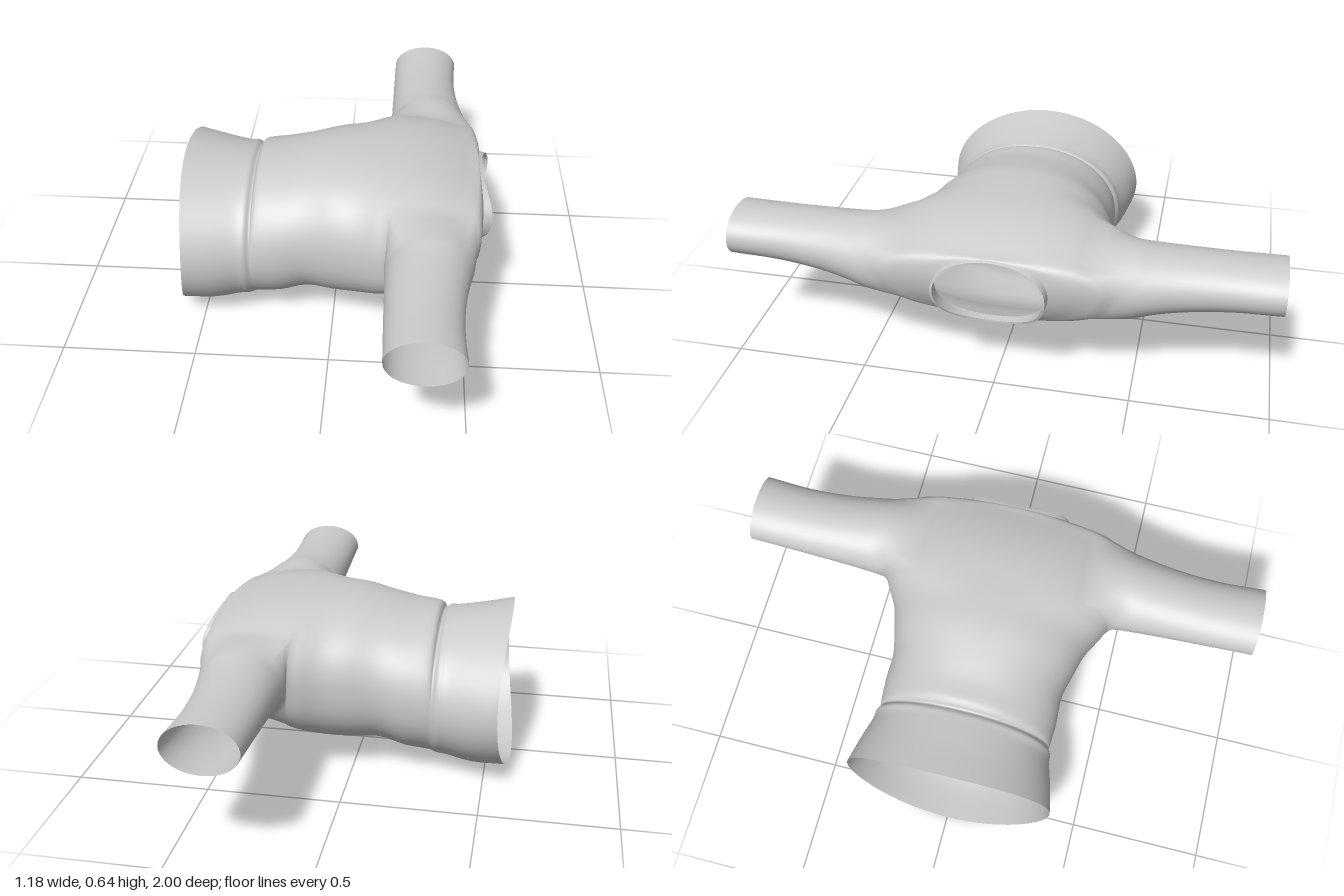
import * as THREE from 'three';
import { toCreasedNormals } from 'three/addons/utils/BufferGeometryUtils.js';

const N = 64;    // points around the torso
const SUB = 4;   // rings per torso section

// Torso sections, hem to neck: x, bottom y, top y, half width, lean, side bulge, squareness
const SECTIONS = [
  [-0.583, 0.005, 0.61, 0.395, 0.0125, 0.035, 2],
  [-0.46, 0.0, 0.588, 0.375, 0, 0.01, 2],
  [-0.36, 0.015, 0.572, 0.35, 0, 0, 2],
  [-0.325, 0.025, 0.566, 0.345, 0, 0, 2.1],
  [-0.305, 0.029, 0.555, 0.334, 0, 0, 2.1],
  [-0.285, 0.034, 0.582, 0.336, 0, 0, 2.1],
  [-0.2, 0.05, 0.59, 0.34, 0, 0, 2.2],
  [-0.1, 0.077, 0.612, 0.337, 0, 0, 2.2],
  [0, 0.08, 0.63, 0.36, 0, 0, 2.3],
  [0.1, 0.09, 0.635, 0.39, 0, 0, 2.3],
  [0.2, 0.135, 0.635, 0.445, 0, 0, 2.4],
  [0.28, 0.185, 0.632, 0.45, 0, 0, 2.4],
  [0.36, 0.23, 0.62, 0.445, 0, 0.01, 2.4],
  [0.43, 0.26, 0.6, 0.435, 0.005, 0.02, 2.4],
  [0.485, 0.28, 0.575, 0.41, 0.02, 0.035, 2.4],
  [0.503, 0.285, 0.567, 0.31, 0.03, 0.032, 2.3],
  [0.51, 0.288, 0.562, 0.2, 0.03, 0.033, 2.2],
];
const HOLE_START = 10, HOLE_END = 14;   // sections bounding the armholes
const HOLE_LOW = -6, HOLE_HIGH = 8;     // armhole span around the ring

// Sleeve sections, shoulder to cuff: z, x min, x max, y min, y max
const SLEEVE = [
  [0.48, 0.196, 0.512, 0.3, 0.572],
  [0.55, 0.198, 0.497, 0.32, 0.563],
  [0.66, 0.2, 0.478, 0.342, 0.556],
  [0.82, 0.202, 0.466, 0.362, 0.552],
  [1.0, 0.205, 0.472, 0.375, 0.556],
];

const power = (v, p) => Math.sign(v) * Math.abs(v) ** p;

// One point on a torso ring; angle 0 is +z, a quarter turn is up
function ringPoint([x, y0, y1, w, lean, bulge, square], angle, egg = 0) {
  const s = power(Math.sin(angle), 2 / square);
  const c = power(Math.cos(angle), 2 / square);
  return new THREE.Vector3(
    x + lean * s + bulge * (1 - s * s),
    (y0 + y1) / 2 + s * (y1 - y0) / 2,
    w * c * (1 + egg * s)
  );
}

// Smooth interpolation of the section table
function smoothSections() {
  const curve = (a, b, c) => new THREE.CatmullRomCurve3(
    SECTIONS.map(r => new THREE.Vector3(r[a], r[b], r[c])), false, 'catmullrom', 0.5);
  const shape = curve(0, 1, 2), extra = curve(3, 4, 5), square = curve(6, 6, 6);
  const count = (SECTIONS.length - 1) * SUB;
  return Array.from({ length: count + 1 }, (_, i) => {
    const t = i / count;
    return [...shape.getPoint(t).toArray(), ...extra.getPoint(t).toArray(), square.getPoint(t).x];
  });
}

function garmentGeometry() {
  const points = [], index = [];
  const quad = (a, b, c, d, flip) =>
    flip ? index.push(a, c, b, a, d, c) : index.push(a, b, c, a, c, d);
  const id = (i, j) => i * N + ((j % N) + N) % N;
  const rings = smoothSections();
  const i0 = HOLE_START * SUB, i1 = HOLE_END * SUB;

  // Torso shell, leaving out the armholes
  rings.forEach((ring, i) => {
    const egg = 0.12 * THREE.MathUtils.smoothstep(ring[0], 0.45, 0.51);
    for (let j = 0; j < N; j++) points.push(ringPoint(ring, j / N * Math.PI * 2, egg));
  });
  const inSpan = j => j >= HOLE_LOW && j < HOLE_HIGH;
  for (let i = 0; i < rings.length - 1; i++) {
    for (let j = 0; j < N; j++) {
      const near = j >= N / 2 + N / 4 ? j - N : j;
      if (i >= i0 && i < i1 && (inSpan(near) || inSpan(N / 2 - 1 - j))) continue;
      quad(id(i, j), id(i + 1, j), id(i + 1, j + 1), id(i, j + 1));
    }
  }

  // Sleeves grow from the rim of each armhole
  const rim = [];
  for (let i = i0; i < i1; i++) rim.push([i, HOLE_LOW]);
  for (let j = HOLE_LOW; j < HOLE_HIGH; j++) rim.push([i1, j]);
  for (let i = i1; i > i0; i--) rim.push([i, HOLE_HIGH]);
  for (let j = HOLE_HIGH; j > HOLE_LOW; j--) rim.push([i0, j]);
  const STEPS = 20, R = rim.length;
  for (const side of [1, -1]) {
    const start = rim.map(([i, j]) => id(i, side > 0 ? j : N / 2 - j));
    const base = points.length;
    const paths = start.map(v => {
      const p = points[v];
      const angle = Math.atan2((p.y - 0.44) / 0.13, (p.x - 0.35) / 0.155);
      return new THREE.CatmullRomCurve3([p, ...SLEEVE.map(([z, x0, x1, y0, y1]) =>
        new THREE.Vector3(
          (x0 + x1) / 2 + Math.cos(angle) * (x1 - x0) / 2,
          (y0 + y1) / 2 + Math.sin(angle) * (y1 - y0) / 2,
          z * side))]);
    });
    for (let k = 1; k <= STEPS; k++) paths.forEach(c => points.push(c.getPoint(k / STEPS)));
    const at = (k, m) => k === 0 ? start[m % R] : base + (k - 1) * R + m % R;
    for (let k = 0; k < STEPS; k++)
      for (let m = 0; m < R; m++)
        quad(at(k, m), at(k, m + 1), at(k + 1, m + 1), at(k + 1, m), side < 0);
  }

  const geometry = new THREE.BufferGeometry().setFromPoints(points);
  geometry.setIndex(index);
  geometry.computeVertexNormals();
  return geometry;
}

// Raised band around the neck opening
function collarGeometry() {
  const loops = [
    [0.503, 0.282, 0.566, 0.204, 0.03, 0.033, 2.2],
    [0.526, 0.28, 0.56, 0.2, 0.024, 0.058, 2.2],
    [0.526, 0.288, 0.552, 0.191, 0.024, 0.058, 2.2],
    [0.503, 0.29, 0.558, 0.195, 0.03, 0.033, 2.2],
  ];
  const points = [], index = [];
  loops.forEach(l => {
    for (let j = 0; j < N; j++) points.push(ringPoint(l, j / N * Math.PI * 2, 0.12));
  });
  for (let i = 0; i < 4; i++) {
    for (let j = 0; j < N; j++) {
      const a = i * N + j, d = i * N + (j + 1) % N;
      const b = ((i + 1) % 4) * N + j, c = ((i + 1) % 4) * N + (j + 1) % N;
      index.push(a, b, c, a, c, d);
    }
  }
  const geometry = new THREE.BufferGeometry().setFromPoints(points);
  geometry.setIndex(index);
  return toCreasedNormals(geometry, 0.6);
}

export function createModel() {
  const group = new THREE.Group();
  group.name = 'longSleevedTop';
  const cloth = new THREE.MeshStandardMaterial({ color: 0xcccccc, side: THREE.DoubleSide });
  const add = (name, geometry) => {
    const mesh = new THREE.Mesh(geometry, cloth);
    mesh.name = name;
    group.add(mesh);
  };
  add('bodyAndSleeves', garmentGeometry());
  add('collar', collarGeometry());
  return group;
}
